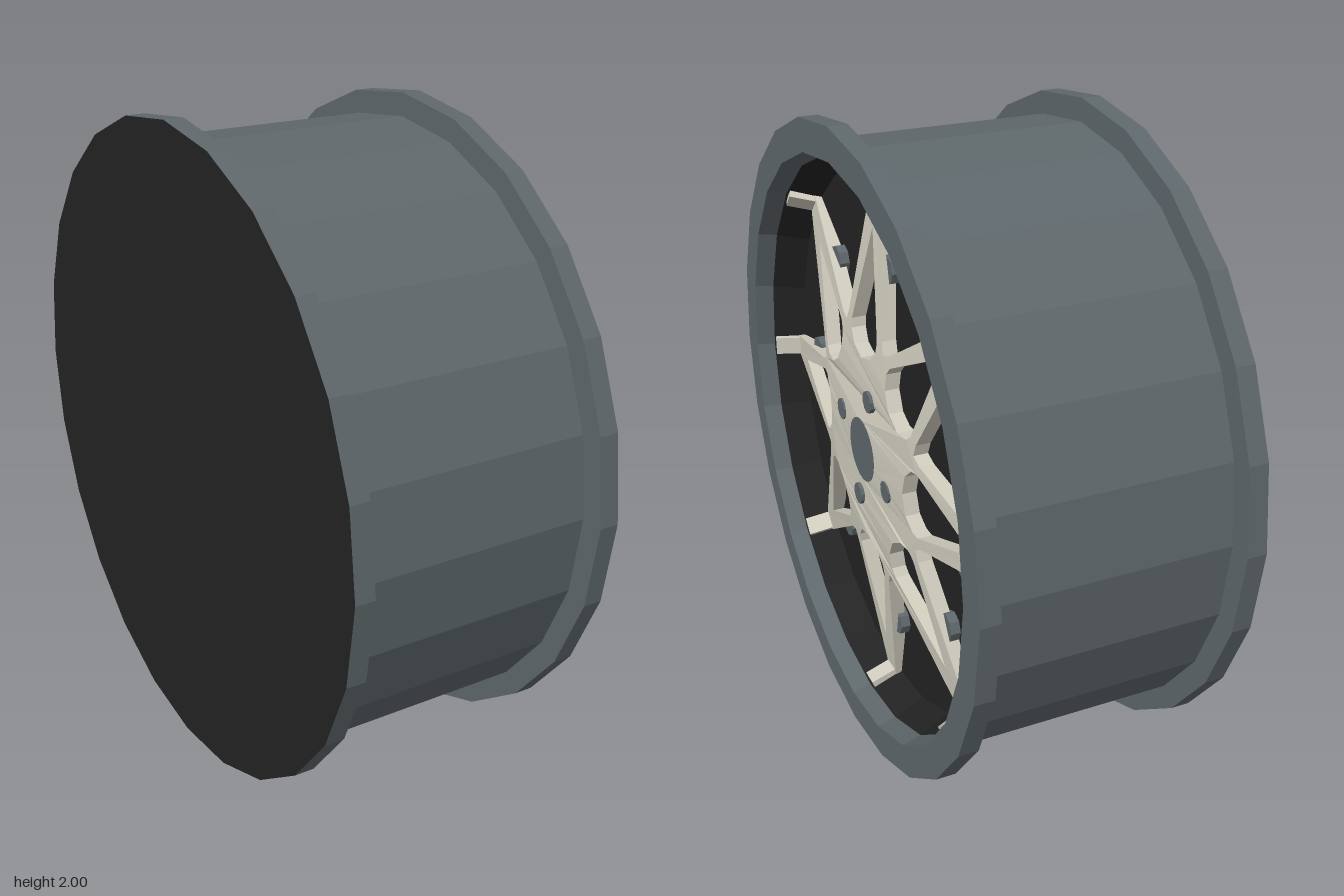
import * as THREE from 'three';

export function createModel() {
  const mat = (name, color, extra = {}) => {
    const m = new THREE.MeshStandardMaterial({ color, flatShading: true, ...extra });
    m.name = name;
    return m;
  };
  const steel = mat('steel grey', 0x5f686c);
  const dark = mat('dark', 0x232323);
  const cream = mat('cream', 0xd0ccbe);

  const root = new THREE.Group();
  root.name = 'wheelRim';
  // Wheel is built facing +z, then turned to face +x
  const wheel = new THREE.Group();
  wheel.name = 'wheel';
  wheel.rotation.y = Math.PI / 2;
  wheel.position.y = 1;
  root.add(wheel);

  const add = (name, geometry, material, parent = wheel) => {
    const mesh = new THREE.Mesh(geometry, material);
    mesh.name = name;
    parent.add(mesh);
    return mesh;
  };
  // Profile points are [radius, depth along the axle]
  const turned = (points, sides = 24) =>
    new THREE.LatheGeometry(points.map(([r, d]) => new THREE.Vector2(r, d)), sides).rotateX(Math.PI / 2);
  const stud = (name, x, y, z, r, depth, material, sides = 10) =>
    add(name, new THREE.CylinderGeometry(r, r, depth, sides).rotateX(Math.PI / 2), material).position.set(x, y, z);

  // Barrel with its two flanges and front lip
  add('barrel', turned([
    [1, -0.42], [1, -0.36], [0.93, -0.36], [0.93, 0.36],
    [1, 0.36], [1, 0.42], [0.9, 0.42], [0.885, 0.36],
  ]), steel);
  add('innerDish', turned([[0.885, 0.36], [0.845, 0.26], [0, 0.26]]), dark);
  add('backCover', turned([[0, -0.42], [1, -0.42]]), dark);

  // Depth of the star's front: nearly flat hub, spokes sloping back
  const frontDepth = (r) => (r < 0.3 ? 0.36 - 0.04 * r : 0.348 - 0.068 * (r - 0.3) / 0.55);

  // Eight-pointed star with a cut-out in every spoke
  const turn = (x, y, a) => [x * Math.cos(a) + y * Math.sin(a), y * Math.cos(a) - x * Math.sin(a)];
  const star = new THREE.Shape();
  for (let i = 0; i < 8; i++) {
    const a = i * Math.PI / 4;
    const outline = [[-0.135, 0.405], [-0.032, 0.85], [0.032, 0.85], [0.135, 0.405], [0.153, 0.37]];
    outline.forEach(([x, y], k) => {
      const p = turn(x, y, a);
      if (i + k === 0) star.moveTo(...p); else star.lineTo(...p);
    });
    const cut = new THREE.Path();
    [[0, 0.7], [-0.104, 0.39], [-0.1, 0.36], [-0.065, 0.322], [0, 0.305],
      [0.065, 0.322], [0.1, 0.36], [0.104, 0.39]].forEach(([x, y], k) => {
      const p = turn(x, y, a);
      if (k === 0) cut.moveTo(...p); else cut.lineTo(...p);
    });
    cut.closePath();
    star.holes.push(cut);
  }
  star.closePath();
  star.holes.push(new THREE.Path().absarc(0, 0, 0.1, 0, Math.PI * 2, true));

  const thick = 0.045;
  const starGeo = new THREE.ExtrudeGeometry(star, { depth: thick, bevelEnabled: false, curveSegments: 12 });
  const pos = starGeo.attributes.position;
  for (let i = 0; i < pos.count; i++) {
    const r = Math.hypot(pos.getX(i), pos.getY(i));
    pos.setZ(i, pos.getZ(i) - thick + frontDepth(r));
  }
  starGeo.computeVertexNormals();
  add('spokeStar', starGeo, cream);

  // Spoke ends bent forward along the dish, and a pair of bolts by each spoke
  for (let i = 0; i < 8; i++) {
    const a = i * Math.PI / 4;
    const arm = new THREE.Group();
    arm.name = 'spokeEnd';
    arm.rotation.z = -a;
    wheel.add(arm);
    const lip = add('spokeLip', new THREE.BoxGeometry(0.06, 0.03, 0.1), cream, arm);
    lip.position.set(0, 0.855, 0.31);
    lip.rotation.x = -0.35;
    for (const side of [-1, 1]) {
      const [x, y] = turn(side * 0.08, 0.597, a);
      stud('bolt', x, y, 0.27, 0.045, 0.04, steel, 8);
    }
  }

  // Centre cap and four lug nuts
  stud('centreCap', 0, 0, 0.335, 0.101, 0.045, steel, 24);
  for (let i = 0; i < 4; i++) {
    const [x, y] = turn(0.055, 0.183, i * Math.PI / 2);
    stud('lugNut', x, y, 0.345, 0.034, 0.022, steel);
  }
  return root;
}
